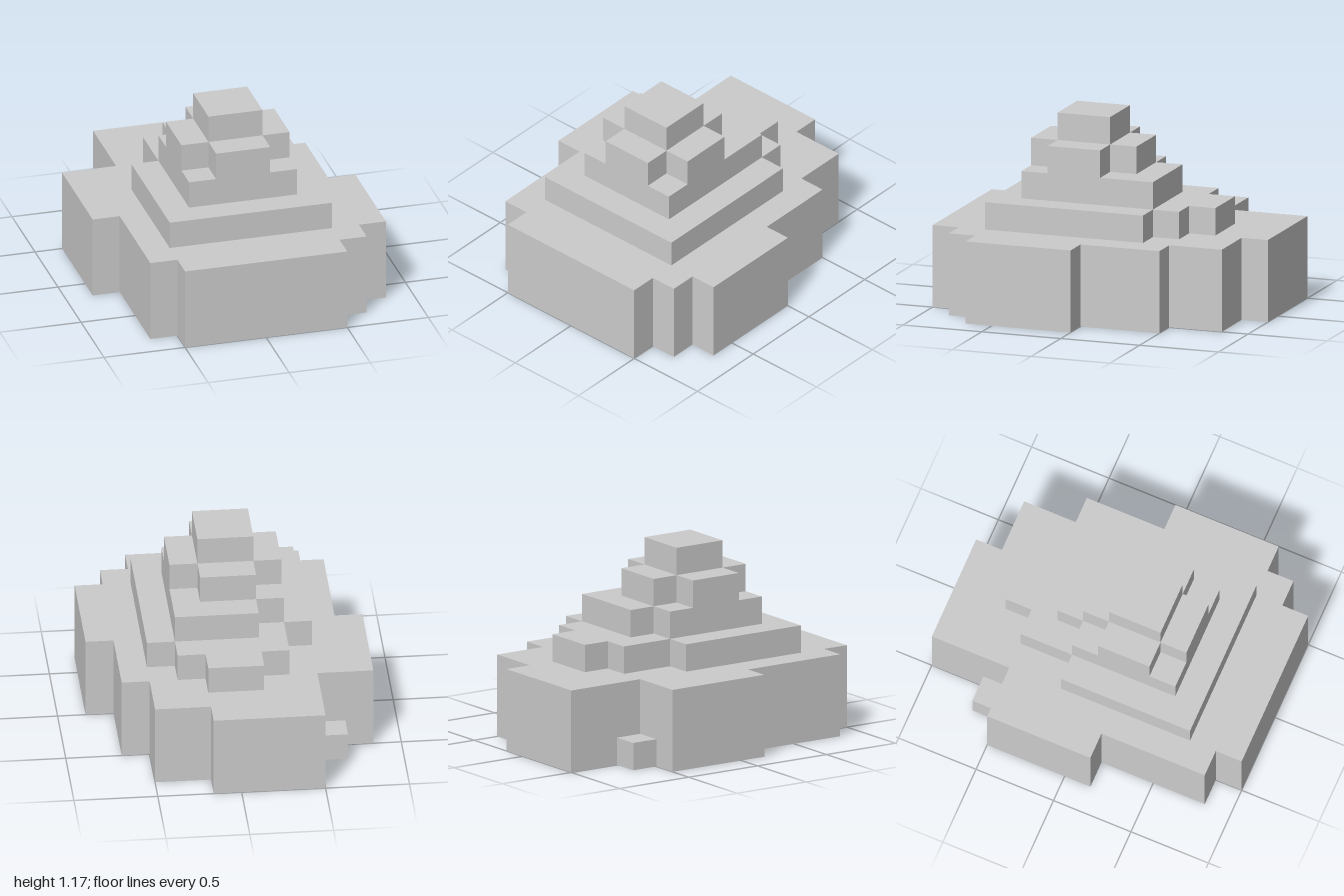
import * as THREE from 'three';

const U = 1 / 6; // one block

// Each tier: bottom and top height in blocks, then rows [zStart, zEnd, xMin, xMax] from back to front
const BASE = [
  [-6, -5, -3, 1], [-5, -3, -3, 3], [-3, 0, -5, 4], [0, 1, -5, 5],
  [1, 4, -4, 5], [4, 5, -4, 4], [5, 6, -3, 3],
];
const TIERS = [
  { name: 'baseUnderside', y0: 0, y1: 1, rows: BASE, pit: [2, 3, 0, 1] },
  { name: 'base', y0: 1, y1: 3, rows: BASE },
  { name: 'lowerTerrace', y0: 3, y1: 4, rows: [[-4, -3, -1, 1], [-3, -2, -2, 2], [-2, -1, -2, 3], [-1, 4, -3, 3]] },
  { name: 'middleTerrace', y0: 4, y1: 5, rows: [[-2, -1, -1, 2], [-1, 3, -2, 2]] },
  { name: 'upperTerrace', y0: 5, y1: 6, rows: [[-1, 0, -1, 1], [0, 2, -2, 2], [2, 3, -1, 1]] },
  { name: 'peak', y0: 6, y1: 7, rows: [[0, 2, -1, 1]] },
  { name: 'looseBlock', y0: 0, y1: 1, rows: [[-4, -3, -4, -3]] },
];

// Stepped outline: down the right side, back up the left side
function outline(rows) {
  const right = [], left = [];
  for (const [z0, z1, x0, x1] of rows) {
    right.push([x1, z0], [x1, z1]);
    left.push([x0, z0], [x0, z1]);
  }
  const points = [...right, ...left.reverse()].map(([x, z]) => new THREE.Vector2(x * U, -z * U));
  return points.filter((p, i) => !p.equals(points[(i + 1) % points.length]));
}

function tierGeometry({ y0, y1, rows, pit }) {
  const shape = new THREE.Shape(outline(rows));
  if (pit) shape.holes.push(new THREE.Path(outline([pit])));
  const geometry = new THREE.ExtrudeGeometry(shape, { depth: (y1 - y0) * U, bevelEnabled: false });
  return geometry.rotateX(-Math.PI / 2).translate(0, y0 * U, 0);
}

export function createModel() {
  const group = new THREE.Group();
  group.name = 'steppedMound';
  const material = new THREE.MeshStandardMaterial({ color: 0xcccccc, flatShading: true });
  for (const tier of TIERS) {
    const mesh = new THREE.Mesh(tierGeometry(tier), material);
    mesh.name = tier.name;
    group.add(mesh);
  }
  return group;
}
